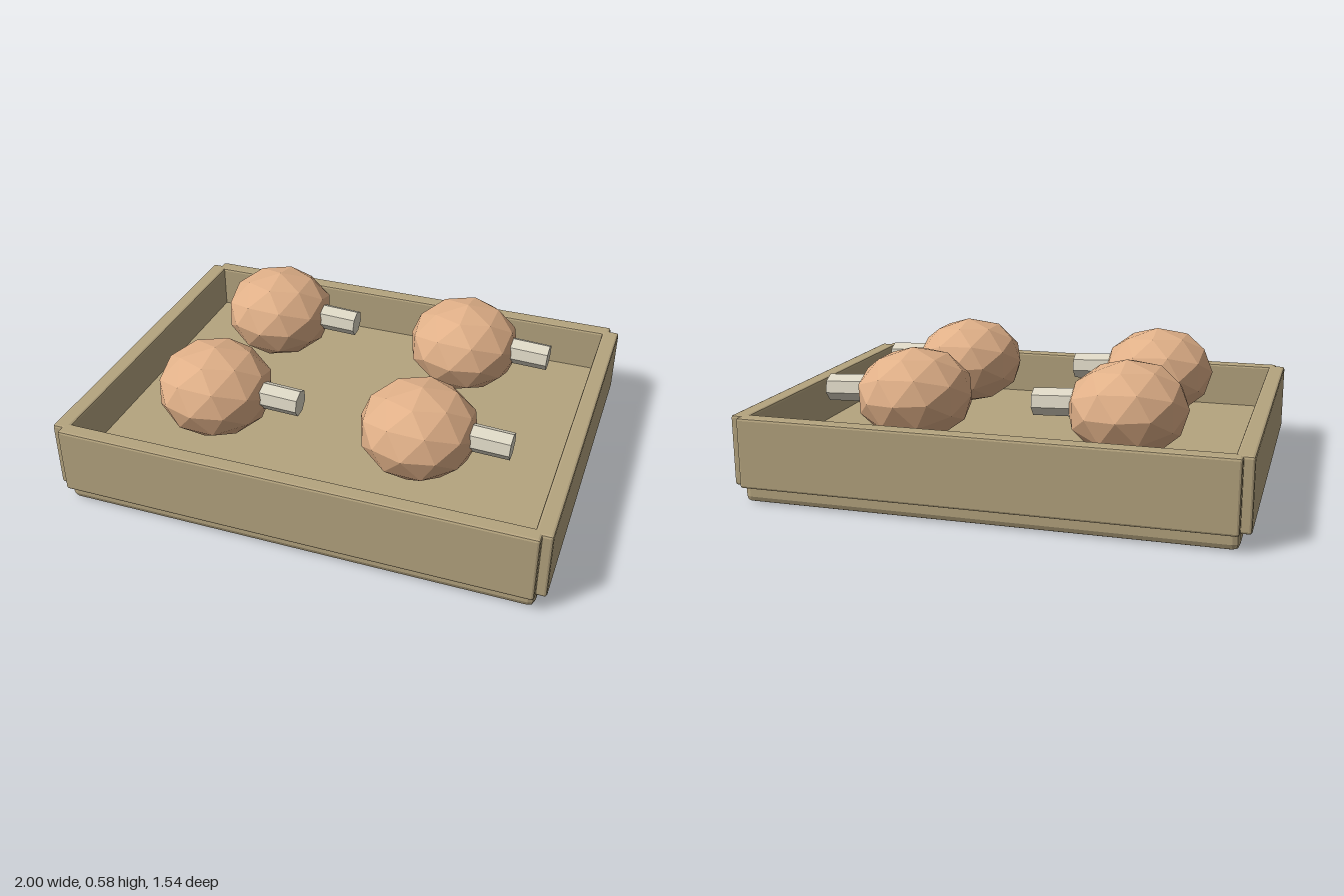
import * as THREE from 'three';
import { RoundedBoxGeometry } from 'three/addons/geometries/RoundedBoxGeometry.js';

const make = (name, color) => {
  const m = new THREE.MeshStandardMaterial({ color, flatShading: true });
  m.name = name;
  return m;
};

export function createModel() {
  const model = new THREE.Group();
  model.name = 'mushroomTray';
  const wood = make('tan cardboard', 0xb5a47f);
  const capColor = make('mushroom brown', 0xe0b088);
  const stemColor = make('pale stem', 0xdcd6c4);

  // Box with chamfered edges, given by its bounds
  const slab = (name, x0, x1, y0, y1, z0, z1, bevel) => {
    const geo = new RoundedBoxGeometry(x1 - x0, y1 - y0, z1 - z0, 1, bevel);
    const mesh = new THREE.Mesh(geo, wood);
    mesh.name = name;
    mesh.position.set((x0 + x1) / 2, (y0 + y1) / 2, (z0 + z1) / 2);
    model.add(mesh);
  };

  // Tray: floor block and four walls
  slab('trayBase', -0.96, 0.96, 0.008, 0.17, -0.74, 0.74, 0.026);
  slab('frontWall', -0.96, 0.96, 0.075, 0.358, 0.705, 0.772, 0.01);
  slab('backWall', -0.96, 0.96, 0.075, 0.358, -0.772, -0.705, 0.01);
  slab('leftWall', 0.93, 1, 0.075, 0.358, -0.738, 0.738, 0.01);
  slab('rightWall', -1, -0.93, 0.075, 0.358, -0.738, 0.738, 0.01);

  // Mushrooms lying on their sides, stems pointing to +x
  const capGeo = new THREE.IcosahedronGeometry(0.241, 1);
  capGeo.scale(0.79, 0.985, 1);
  const stemGeo = new THREE.CylinderGeometry(0.055, 0.057, 0.3, 7);
  stemGeo.rotateY(-Math.PI / 2); // one corner faces upward once laid down
  stemGeo.translate(0, 0.22, 0);

  for (const x of [-0.482, 0.384]) {
    for (const z of [-0.357, 0.32]) {
      const mushroom = new THREE.Group();
      mushroom.name = 'mushroom';
      const cap = new THREE.Mesh(capGeo, capColor);
      cap.name = 'cap';
      const stem = new THREE.Mesh(stemGeo, stemColor);
      stem.name = 'stem';
      mushroom.add(cap, stem);
      mushroom.position.set(x, 0.396, z);
      mushroom.rotation.z = -Math.PI / 2 - 0.04;
      stem.position.x = -0.018;
      model.add(mushroom);
    }
  }
  return model;
}
